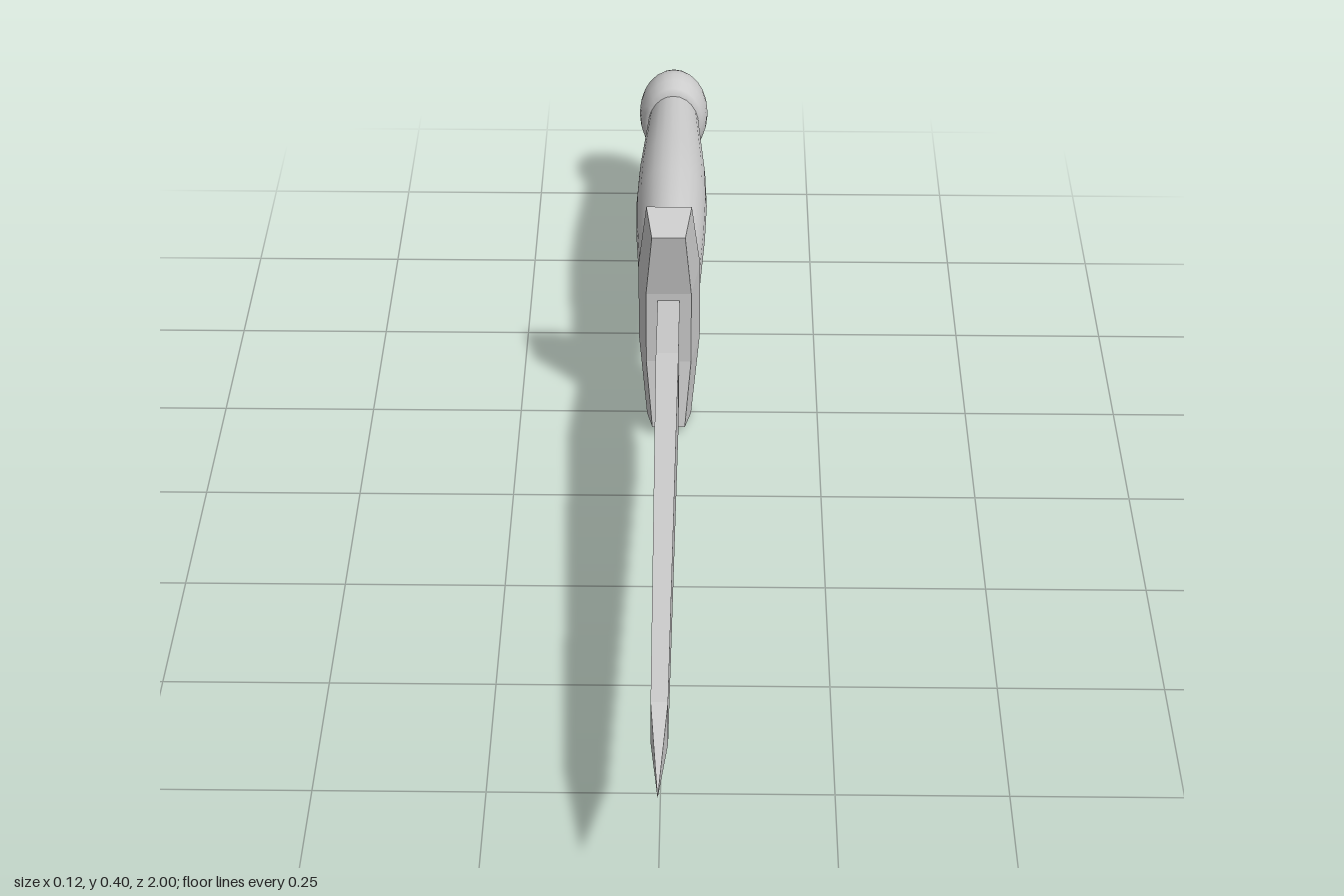
import * as THREE from 'three';

const CENTER_Y = 0.2;
const material = () => new THREE.MeshStandardMaterial({ color: 0xcccccc });

// Flat-faced solid through four-cornered sections, each counter-clockwise seen from the far end
function loft(name, sections) {
  const pos = [];
  const quad = (a, b, c, d) => pos.push(...a, ...b, ...c, ...a, ...c, ...d);
  for (let s = 0; s < sections.length - 1; s++) {
    const a = sections[s], b = sections[s + 1];
    for (let i = 0; i < 4; i++) {
      const j = (i + 1) % 4;
      quad(a[i], a[j], b[j], b[i]);
    }
  }
  const first = sections[0], last = sections[sections.length - 1];
  quad(first[3], first[2], first[1], first[0]);
  quad(last[0], last[1], last[2], last[3]);
  const geo = new THREE.BufferGeometry();
  geo.setAttribute('position', new THREE.Float32BufferAttribute(pos, 3));
  geo.computeVertexNormals();
  const mesh = new THREE.Mesh(geo, material());
  mesh.name = name;
  return mesh;
}

// Oval turned part running backwards; points are [half height, distance behind the origin]
function turned(name, points, widthRatio) {
  const geo = new THREE.LatheGeometry(points.map(([r, d]) => new THREE.Vector2(r, d)), 24);
  geo.rotateX(-Math.PI / 2);
  geo.scale(widthRatio, 1, 1);
  geo.translate(0, CENTER_Y, 0);
  const mesh = new THREE.Mesh(geo, material());
  mesh.name = name;
  return mesh;
}

export function createModel() {
  const group = new THREE.Group();
  group.name = 'dagger';

  // Blade: [z, half width, half height], ending in a point
  const blade = [
    [-0.22, 0.018, 0.05], [0, 0.018, 0.074], [0.84, 0.012, 0.037], [1, 0, 0],
  ].map(([z, w, h]) => [[w, h], [-w, h], [-w, -h], [w, -h]].map(([x, y]) => [x, CENTER_Y + y, z]));
  group.add(loft('blade', blade));

  // Cross guard: wide back face, narrower front face, arms swept forward
  const end = { yB: 0.2, zB: -0.245, wB: 0.037, yF: 0.182, zF: -0.175, wF: 0.027 };
  const mid = { yB: 0.07, zB: -0.285, wB: 0.051, yF: 0.065, zF: -0.195, wF: 0.037 };
  const guard = [[end, -1], [mid, -1], [mid, 1], [end, 1]].map(([p, side]) => {
    const yB = CENTER_Y + side * p.yB, yF = CENTER_Y + side * p.yF;
    return [[p.wB, yB, p.zB], [-p.wB, yB, p.zB], [-p.wF, yF, p.zF], [p.wF, yF, p.zF]];
  });
  group.add(loft('crossGuard', guard));

  // Swelling oval grip
  group.add(turned('grip', [
    [0.062, 0.27], [0.076, 0.48], [0.08, 0.6], [0.076, 0.71], [0.059, 0.91],
  ], 0.77));

  // Rounded pommel with a flattened end
  group.add(turned('pommel', [
    [0, 0.893], [0.058, 0.895], [0.07, 0.908], [0.079, 0.925], [0.082, 0.945], [0.08, 0.963],
    [0.072, 0.98], [0.058, 0.992], [0.035, 0.999], [0, 1],
  ], 0.76));

  return group;
}
